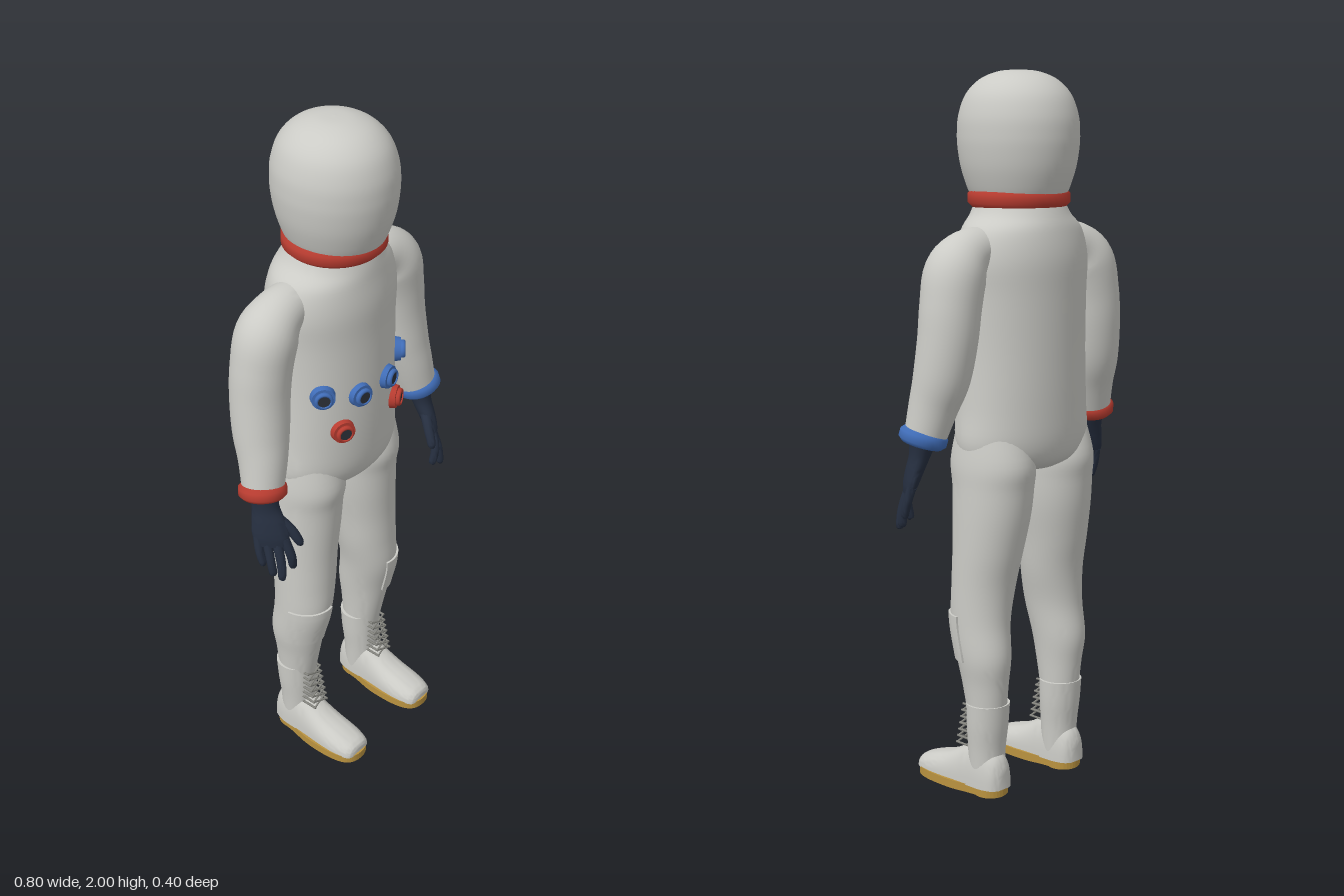
import * as THREE from 'three';
import { toCreasedNormals } from 'three/addons/utils/BufferGeometryUtils.js';

const mat = (name, color) => new THREE.MeshStandardMaterial({ name, color });
const V = (x, y, z) => new THREE.Vector3(x, y, z);

// Closed skin over a row of rings; triangles are turned outward by the sign of the volume.
function loft(rings, crease = 0.8) {
  const n = rings[0].length, pts = rings.flat(), idx = [];
  for (let i = 0; i < rings.length - 1; i++) {
    for (let j = 0; j < n; j++) {
      const a = i * n + j, b = i * n + (j + 1) % n;
      idx.push(a, b, a + n, b, b + n, a + n);
    }
  }
  const cap = (start, flip) => {
    const c = V(0, 0, 0);
    for (let j = 0; j < n; j++) c.addScaledVector(pts[start + j], 1 / n);
    const k = pts.push(c) - 1;
    for (let j = 0; j < n; j++) {
      const a = start + j, b = start + (j + 1) % n;
      idx.push(k, flip ? b : a, flip ? a : b);
    }
  };
  cap(0, true);
  cap((rings.length - 1) * n, false);
  let volume = 0;
  const t = V(0, 0, 0);
  for (let i = 0; i < idx.length; i += 3) {
    volume += pts[idx[i]].dot(t.crossVectors(pts[idx[i + 1]], pts[idx[i + 2]]));
  }
  if (volume < 0) idx.reverse();
  const g = new THREE.BufferGeometry().setFromPoints(pts);
  g.setIndex(idx);
  return toCreasedNormals(g, crease);
}

// Catmull-Rom interpolation between rows of section numbers.
function smooth(rows, steps = 5) {
  const out = [], at = i => rows[Math.max(0, Math.min(rows.length - 1, i))];
  for (let i = 0; i < rows.length - 1; i++) {
    for (let k = 0; k < steps; k++) {
      const t = k / steps;
      out.push(rows[i].map((b, c) => {
        const a = at(i - 1)[c], d = at(i + 1)[c], e = at(i + 2)[c];
        return b + 0.5 * t * (d - a + t * (2 * a - 5 * b + 4 * d - e + t * (3 * (b - d) + e - a)));
      }));
    }
  }
  out.push(rows[rows.length - 1]);
  return out;
}

// Horizontal ellipses; each row is [y, centre x, radius x, centre z, radius z].
const onEllipse = ([y, cx, rx, cz, rz], a, grow = 0, s = 1) =>
  V(s * (cx + (rx + grow) * Math.cos(a)), y, cz + (rz + grow) * Math.sin(a));
const column = (rows, s = 1, n = 40) => loft(smooth(rows).map(r =>
  Array.from({ length: n }, (_, j) => onEllipse(r, j / n * Math.PI * 2, 0, s))));

// Round limb along a path; each row is [x, y, z, radius].
function limb(rows, s = 1, n = 14, steps = 5) {
  const p = smooth(rows, steps);
  return loft(p.map((r, i) => {
    const a = p[Math.max(0, i - 1)], b = p[Math.min(p.length - 1, i + 1)];
    const dir = V(b[0] - a[0], b[1] - a[1], b[2] - a[2]).normalize();
    const u = V(0, 0, 1).cross(dir).normalize(), v = dir.clone().cross(u);
    return Array.from({ length: n }, (_, j) => {
      const q = j / n * Math.PI * 2;
      const c = V(r[0], r[1], r[2]).addScaledVector(u, r[3] * Math.cos(q)).addScaledVector(v, r[3] * Math.sin(q));
      c.x *= s;
      return c;
    });
  }), 1.1);
}

// Rounded band around the y axis.
function band(inner, outer, h) {
  const b = h * 0.25, p = [[inner, -h / 2], [outer - b, -h / 2], [outer, -h / 2 + b],
    [outer, h / 2 - b], [outer - b, h / 2], [inner, h / 2], [inner, -h / 2]];
  return new THREE.LatheGeometry(p.map(q => new THREE.Vector2(...q)), 40);
}

const TORSO = [[1.67, 0, 0.115, -0.03, 0.115], [1.62, 0, 0.14, -0.035, 0.132], [1.575, 0, 0.185, -0.04, 0.143],
  [1.5, 0, 0.204, -0.042, 0.153], [1.4, 0, 0.2, -0.042, 0.152], [1.25, 0, 0.2, -0.04, 0.152],
  [1.1, 0, 0.208, -0.04, 0.15], [1.0, 0, 0.216, -0.042, 0.144], [0.95, 0, 0.19, -0.045, 0.125],
  [0.925, 0, 0.1, -0.045, 0.09]];
const LEG = [[1.05, 0.12, 0.085, -0.04, 0.1], [0.95, 0.117, 0.103, -0.045, 0.129], [0.88, 0.118, 0.104, -0.047, 0.121],
  [0.8, 0.122, 0.102, -0.045, 0.114], [0.7, 0.13, 0.095, -0.038, 0.102], [0.6, 0.137, 0.088, -0.028, 0.092],
  [0.5, 0.147, 0.078, -0.026, 0.089], [0.4, 0.152, 0.07, -0.043, 0.083], [0.32, 0.15, 0.06, -0.047, 0.07],
  [0.22, 0.148, 0.052, -0.052, 0.055]];
const ARM = [[0.12, 1.535, -0.04, 0.055], [0.2, 1.52, -0.04, 0.068], [0.25, 1.475, -0.042, 0.084],
  [0.272, 1.39, -0.045, 0.083], [0.283, 1.3, -0.044, 0.081], [0.295, 1.2, -0.033, 0.077],
  [0.31, 1.12, -0.015, 0.067], [0.33, 1.03, 0, 0.056]];
const SHAFT = [[0.265, 0.148, 0.063, -0.055, 0.06], [0.2, 0.148, 0.06, -0.053, 0.057],
  [0.13, 0.148, 0.054, -0.05, 0.052], [0.05, 0.148, 0.05, -0.05, 0.05]];
// Foot rows: z, half width, top height
const FOOT = [[0.193, 0.03, 0.046], [0.183, 0.046, 0.058], [0.14, 0.057, 0.074], [0.08, 0.058, 0.093],
  [0.03, 0.055, 0.118], [-0.02, 0.053, 0.145], [-0.07, 0.051, 0.14], [-0.105, 0.04, 0.115], [-0.119, 0.022, 0.085]];
const FINGERS = [
  [[0.325, 0.9, 0.068, 0.014], [0.317, 0.845, 0.085, 0.013], [0.308, 0.803, 0.083, 0.011], [0.306, 0.797, 0.082, 0.004]],
  [[0.338, 0.9, 0.05, 0.014], [0.345, 0.835, 0.073, 0.013], [0.349, 0.785, 0.08, 0.011], [0.35, 0.776, 0.08, 0.004]],
  [[0.354, 0.9, 0.03, 0.014], [0.362, 0.84, 0.05, 0.012], [0.36, 0.795, 0.057, 0.011], [0.36, 0.787, 0.058, 0.004]],
  [[0.368, 0.905, 0.01, 0.013], [0.374, 0.86, 0.022, 0.012], [0.373, 0.825, 0.032, 0.01], [0.372, 0.818, 0.033, 0.004]],
  [[0.325, 0.96, 0.035, 0.016], [0.302, 0.92, 0.07, 0.015], [0.29, 0.88, 0.092, 0.012], [0.288, 0.868, 0.094, 0.004]]];

export function createModel() {
  const model = new THREE.Group();
  model.name = 'spacesuit';
  const suit = mat('suit grey', 0xcbcbc6), red = mat('ring red', 0xb83c30), blue = mat('ring blue', 0x406db8);
  const glove = mat('glove navy', 0x262f40), sole = mat('sole tan', 0xb9923f);
  const dark = mat('port dark', 0x2c3038), lace = mat('lace grey', 0x85857f);
  const add = (name, geo, m, parent = model) => {
    const mesh = new THREE.Mesh(geo, m);
    mesh.name = name;
    parent.add(mesh);
    return mesh;
  };

  // Helmet and neck ring
  const dome = new THREE.SplineCurve([[0.122, 1.66], [0.135, 1.69], [0.15, 1.74], [0.158, 1.79], [0.16, 1.83], [0.156, 1.88],
    [0.137, 1.935], [0.1, 1.975], [0.05, 1.996], [0, 2]].map(p => new THREE.Vector2(...p)));
  const helmet = add('helmet', new THREE.LatheGeometry(dome.getPoints(40), 48), suit);
  helmet.scale.z = 1.08;
  helmet.position.z = -0.027;
  add('neckRing', band(0.11, 0.14, 0.048), red).position.set(0, 1.66, -0.029);

  add('torso', column(TORSO, 1, 56), suit);

  // Hose connectors on the front of the torso
  for (const [x, y, m] of [[0.15, 1.27, blue], [0.055, 1.25, blue], [0.105, 1.15, red]]) {
    for (const s of [-1, 1]) {
      const port = new THREE.Group(), k = x / 0.201;
      port.name = 'hoseConnector';
      port.position.set(s * x, y, -0.04 + 0.152 * Math.sqrt(1 - k * k) - 0.004);
      const normal = V(s * k / 0.201, 0, Math.sqrt(1 - k * k) / 0.152).normalize();
      port.quaternion.setFromUnitVectors(V(0, 1, 0), normal);
      add('connectorBase', new THREE.CylinderGeometry(0.032, 0.035, 0.018, 24), m, port).position.y = 0.009;
      add('connectorRim', band(0.017, 0.025, 0.014), m, port).position.y = 0.023;
      add('connectorCore', new THREE.CylinderGeometry(0.018, 0.018, 0.012, 20), dark, port).position.y = 0.021;
      model.add(port);
    }
  }

  for (const s of [-1, 1]) {
    // Arm, cuff and glove
    add('arm', limb(ARM, s, 32), suit);
    const cuff = add('wristRing', band(0.045, 0.066, 0.04), s > 0 ? blue : red);
    cuff.position.set(s * 0.332, 1.038, 0.001);
    cuff.quaternion.setFromUnitVectors(V(0, 1, 0), V(-s * 0.2, 1, -0.2).normalize());
    const hand = new THREE.Group();
    hand.name = 'glove';
    model.add(hand);
    // Palm rows: y, centre x, centre z, half breadth, half thickness
    const palm = [[1.04, 0.33, 0, 0.042, 0.04], [0.99, 0.335, 0.012, 0.038, 0.03], [0.95, 0.34, 0.026, 0.046, 0.026],
      [0.91, 0.345, 0.038, 0.051, 0.021], [0.88, 0.348, 0.045, 0.043, 0.014]];
    add('palm', loft(smooth(palm).map(([y, cx, cz, b, t]) => Array.from({ length: 20 }, (_, j) => {
      const u = b * Math.cos(j * Math.PI / 10), v = t * Math.sin(j * Math.PI / 10);
      return V(s * (cx - 0.6 * u + 0.8 * v), y, cz + 0.8 * u + 0.6 * v);
    }))), glove, hand);
    FINGERS.forEach((f, i) => add(i < 4 ? 'finger' : 'thumb', limb(f, s, 10, 4), glove, hand));

    // Leg with a knee pad wrapped over its outer front
    add('leg', column(LEG, s), suit);
    const padRows = smooth(LEG, 10).filter(r => r[0] > 0.388 && r[0] < 0.525);
    add('kneePad', loft(padRows.map(r => {
      const arc = Array.from({ length: 15 }, (_, j) => 0.12 + j / 14 * 1.68);
      return [...arc.map(a => onEllipse(r, a, 0.006, s)), ...arc.reverse().map(a => onEllipse(r, a, -0.006, s))];
    }), 0.6), suit);

    // Boot
    const boot = new THREE.Group();
    boot.name = 'boot';
    model.add(boot);
    add('bootShaft', column(SHAFT, s), suit, boot);
    add('bootFoot', loft(smooth(FOOT, 4).map(([z, w, top]) => Array.from({ length: 25 }, (_, j) => {
      const a = j / 24 * Math.PI, c = Math.cos(a);
      return V(s * 0.15 + w * Math.sign(c) * Math.abs(c) ** 0.8, 0.024 + (top - 0.024) * Math.sin(a) ** 0.8, z);
    }))), suit, boot);

    // Sole and heel
    const outline = new THREE.Shape();
    outline.moveTo(-0.047, 0.07);
    outline.bezierCurveTo(-0.05, 0, -0.066, 0, -0.064, -0.09);
    outline.bezierCurveTo(-0.062, -0.17, -0.045, -0.199, 0, -0.199);
    outline.bezierCurveTo(0.045, -0.199, 0.062, -0.17, 0.064, -0.09);
    outline.bezierCurveTo(0.066, 0, 0.05, 0, 0.047, 0.07);
    outline.bezierCurveTo(0.045, 0.13, -0.045, 0.13, -0.047, 0.07);
    const plate = new THREE.ExtrudeGeometry(outline, { depth: 0.024, bevelEnabled: false, curveSegments: 14 });
    plate.rotateX(-Math.PI / 2);
    add('sole', plate, sole, boot).position.set(s * 0.15, 0.003, 0);
    const heel = add('heel', new THREE.CylinderGeometry(0.046, 0.046, 0.034, 28), sole, boot);
    heel.position.set(s * 0.15, 0.017, -0.066);

    // Crossed laces over a row of studs
    const hole = (i, side) => V(s * 0.15 + side * 0.027, 0.13 + i * 0.02, 0.04 - i * 0.0045);
    for (let i = 0; i < 7; i++) {
      for (const side of [-1, 1]) {
        const end = hole(i, side);
        const stud = add('laceStud', new THREE.CylinderGeometry(0.0035, 0.0035, 0.05, 6), lace, boot);
        stud.position.set(end.x, end.y, end.z - 0.022);
        stud.rotation.x = Math.PI / 2;
        if (i === 6) continue;
        const path = new THREE.LineCurve3(end, hole(i + 1, -side));
        add('lace', new THREE.TubeGeometry(path, 1, 0.003, 6), lace, boot);
      }
    }
  }
  return model;
}
